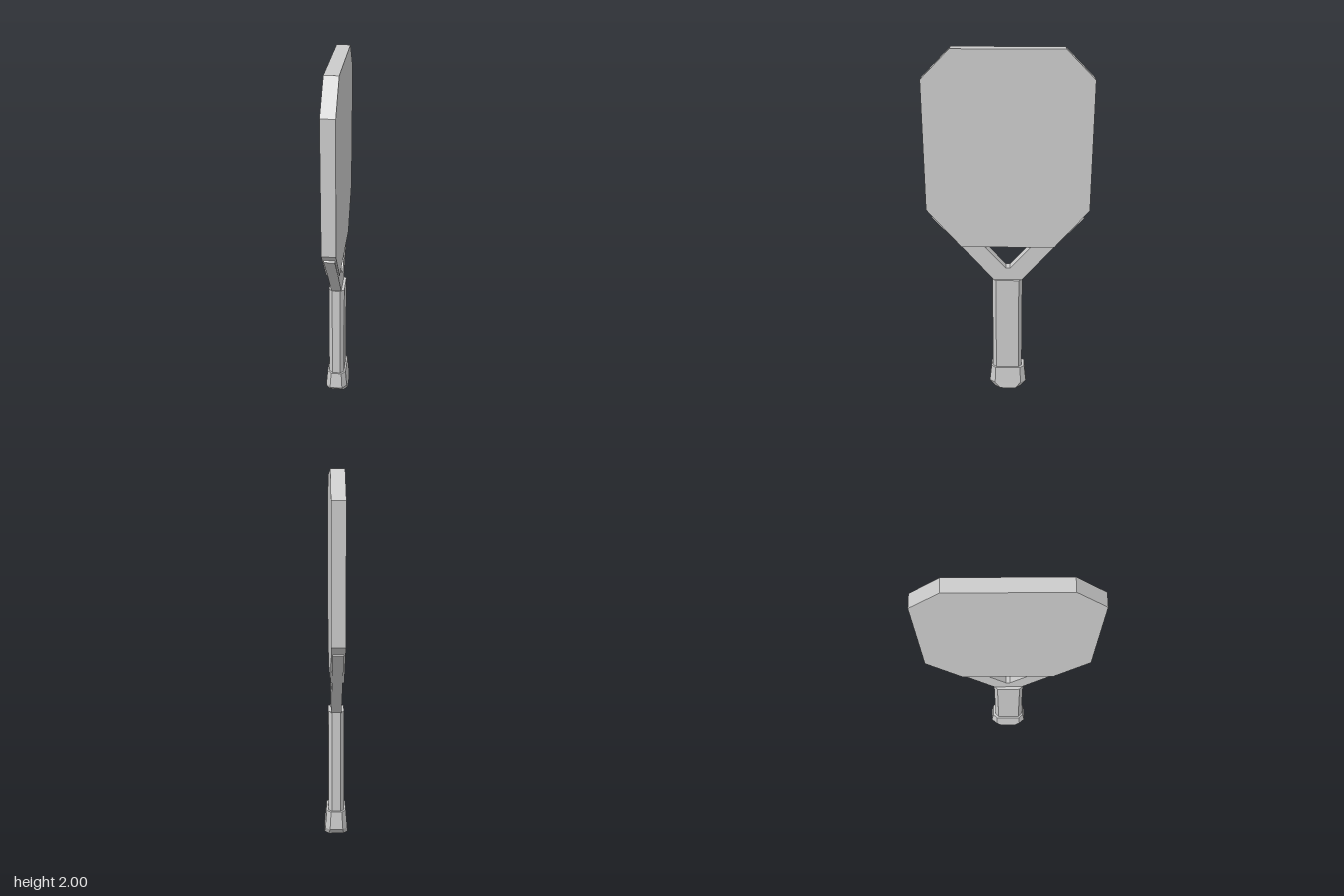
import * as THREE from 'three';

const material = new THREE.MeshStandardMaterial({ color: 0xcccccc, flatShading: true });

// Plate cut from a (z, y) outline mirrored about z = 0, centred on x = 0
function plate(name, half, thickness) {
  const mirrored = half.map(([z, y]) => [-z, y]).reverse();
  const shape = new THREE.Shape([...half, ...mirrored].map(([z, y]) => new THREE.Vector2(z, y)));
  const geo = new THREE.ExtrudeGeometry(shape, { depth: thickness, bevelEnabled: false });
  geo.translate(0, 0, -thickness / 2).rotateY(-Math.PI / 2);
  const mesh = new THREE.Mesh(geo, material);
  mesh.name = name;
  return mesh;
}

// Eight-sided section: half extents hx, hz and half widths of the flats fx, fz
function octagon({ y, hx, hz, fx, fz }) {
  return [[hx, -fz], [hx, fz], [fx, hz], [-fx, hz], [-hx, fz], [-hx, -fz], [-fx, -hz], [fx, -hz]]
    .map(([x, z]) => [x, y, z]);
}

// Solid lofted through sections from bottom to top
function loft(name, sections) {
  const rings = sections.map(octagon);
  const pos = [];
  const tri = (...points) => points.forEach((p) => pos.push(...p));
  for (let r = 0; r < rings.length - 1; r++) {
    for (let i = 0; i < 8; i++) {
      const j = (i + 1) % 8;
      tri(rings[r][i], rings[r + 1][i], rings[r + 1][j]);
      tri(rings[r][i], rings[r + 1][j], rings[r][j]);
    }
  }
  const bottom = rings[0], top = rings[rings.length - 1];
  for (let i = 1; i < 7; i++) {
    tri(bottom[0], bottom[i], bottom[i + 1]);
    tri(top[0], top[i + 1], top[i]);
  }
  const geo = new THREE.BufferGeometry();
  geo.setAttribute('position', new THREE.Float32BufferAttribute(pos, 3));
  geo.computeVertexNormals();
  const mesh = new THREE.Mesh(geo, material);
  mesh.name = name;
  return mesh;
}

export function createModel() {
  const group = new THREE.Group();
  group.name = 'paddle';

  // Flat face with cut corners
  group.add(plate('head', [[0.255, 0.92], [0.443, 1.14], [0.443, 1.847], [0.29, 2]], 0.073));

  // Forked throat whose arms run up into the head
  group.add(plate('throat', [
    [0.078, 0.71], [0.25, 0.912], [0.416, 1.092], [0.4, 1.108],
    [0.3, 1.108], [0.13, 0.92], [0.012, 0.787],
  ], 0.056));

  // Eight-sided grip
  const grip = { hx: 0.044, hz: 0.085, fx: 0.023, fz: 0.065 };
  const handle = loft('handle', [{ y: 0.1, ...grip }, { y: 0.715, ...grip }]);
  handle.position.z = 0.003;
  group.add(handle);

  // Flared end cap with a chamfered foot
  group.add(loft('endCap', [
    { y: 0, hx: 0.066, hz: 0.075, fx: 0.042, fz: 0.045 },
    { y: 0.037, hx: 0.062, hz: 0.108, fx: 0.036, fz: 0.076 },
    { y: 0.137, hx: 0.054, hz: 0.097, fx: 0.03, fz: 0.072 },
  ]));

  return group;
}
